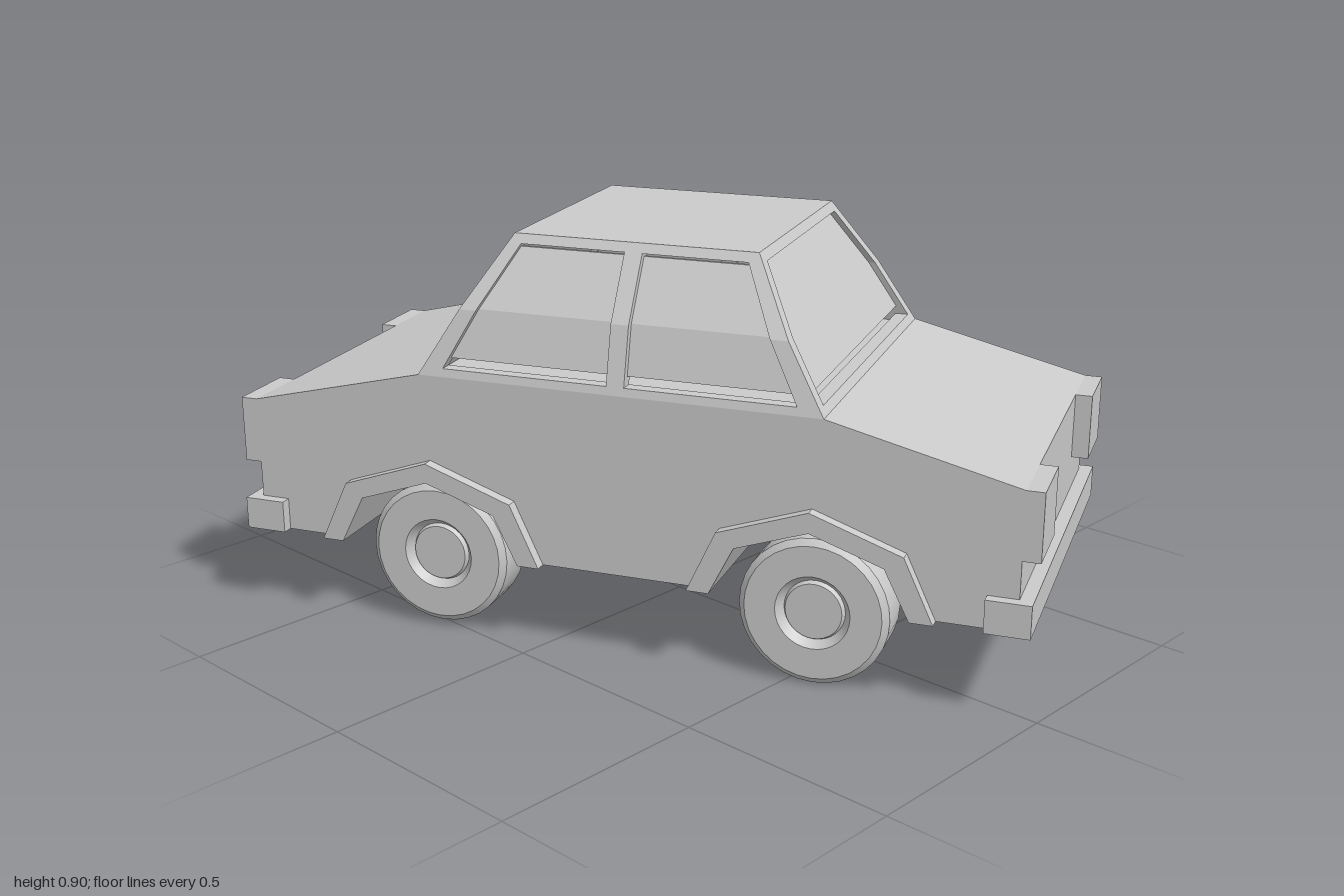
import * as THREE from 'three';
import { toCreasedNormals } from 'three/addons/utils/BufferGeometryUtils.js';

const YAW = 0.4136; // the car stands turned on its base
const BODY_W = 0.409, BODY_L = 0.867, BASE = 0.195, BELT = 0.6, ROOF = 0.9;
const AXLE = 0.435;

const paint = new THREE.MeshStandardMaterial({ color: 0xcccccc, flatShading: true });
const smooth = new THREE.MeshStandardMaterial({ color: 0xcccccc });
const glass = new THREE.MeshStandardMaterial({ color: 0xcccccc, flatShading: true, side: THREE.DoubleSide });

// Cabin half width (bulging sides) and half length at a height
const cabinW = (y) => y < 0.745
  ? THREE.MathUtils.mapLinear(y, BELT, 0.745, BODY_W, 0.374)
  : THREE.MathUtils.mapLinear(y, 0.745, ROOF, 0.374, 0.28);
const cabinL = (y) => THREE.MathUtils.mapLinear(y, BELT, ROOF, 0.455, 0.275);

// Solid through rectangular sections; rect(y) gives [x0, x1, z0, z1]
function loft(heights, rect) {
  const pos = [], idx = [];
  heights.forEach((y) => {
    const [a, b, c, d] = rect(y);
    const x0 = Math.min(a, b), x1 = Math.max(a, b);
    const z0 = Math.min(c, d), z1 = Math.max(c, d);
    pos.push(x0, y, z1, x1, y, z1, x1, y, z0, x0, y, z0);
  });
  const top = (heights.length - 1) * 4;
  for (let k = 0; k < top; k += 4) {
    for (let i = 0; i < 4; i++) {
      const a = k + i, b = k + (i + 1) % 4;
      idx.push(a, b, b + 4, a, b + 4, a + 4);
    }
  }
  idx.push(top, top + 1, top + 2, top, top + 2, top + 3, 0, 2, 1, 0, 3, 2);
  const geo = new THREE.BufferGeometry();
  geo.setAttribute('position', new THREE.Float32BufferAttribute(pos, 3));
  geo.setIndex(idx);
  const flat = geo.toNonIndexed();
  flat.computeVertexNormals();
  return flat;
}

// Side outline given as [z, y] points, extruded across the car from x0 to x1
function sideExtrude(points, x0, x1) {
  const shape = new THREE.Shape(points.map(([z, y]) => new THREE.Vector2(z, y)));
  const geo = new THREE.ExtrudeGeometry(shape, { depth: x1 - x0, bevelEnabled: false });
  geo.translate(0, 0, -x1);
  return geo.rotateY(-Math.PI / 2);
}

// Faceted arch from front to back around a wheel
const archLine = (z, foot, hip, hipY, crown) => [
  [z + foot, BASE], [z + hip, hipY], [z, crown], [z - hip, hipY], [z - foot, BASE]];
const innerArch = (z) => archLine(z, 0.215, 0.16, 0.305, 0.36);
const outerArch = (z) => archLine(z, 0.265, 0.2, 0.335, 0.405);

export function createModel() {
  const model = new THREE.Group();
  const car = new THREE.Group();
  car.name = 'car';
  car.rotation.y = YAW;
  model.add(car);
  const add = (name, geo, mat = paint) => {
    const mesh = new THREE.Mesh(geo, mat);
    mesh.name = name;
    car.add(mesh);
    return mesh;
  };
  const box = (name, w, h, d, x, y, z) =>
    add(name, new THREE.BoxGeometry(w, h, d)).position.set(x, y, z);

  // Lower body with wheel wells running right across
  add('body', sideExtrude([
    [BODY_L, BASE], [BODY_L, 0.5], [0.455, BELT], [-0.455, BELT], [-BODY_L, 0.5], [-BODY_L, BASE],
    ...innerArch(-AXLE).reverse(), ...innerArch(AXLE).reverse(),
  ], -BODY_W, BODY_W));

  // Roof slab
  add('roof', loft([0.88, ROOF], (y) => [-cabinW(y), cabinW(y), -cabinL(y), cabinL(y)]));

  const tall = [BELT, 0.745, 0.885];
  const pane = [0.638, 0.745, 0.872];
  const sill = [BELT, 0.618];
  const thick = (y) => THREE.MathUtils.mapLinear(y, BELT, ROOF, 0.048, 0.03);

  for (const s of [1, -1]) {
    const side = s > 0 ? 'left' : 'right';
    const end = s > 0 ? 'front' : 'rear';

    // Centre pillar, side sill and side glass
    add(side + 'CentrePillar', loft(tall, (y) =>
      [s * cabinW(y), s * (cabinW(y) - 0.03), -0.018, 0.022]));
    add(side + 'Sill', loft(sill, (y) =>
      [s * cabinW(y), s * (cabinW(y) - 0.03), -cabinL(y), cabinL(y)]));
    add(side + 'SideGlass', loft(pane, (y) =>
      [s * (cabinW(y) - 0.016), s * (cabinW(y) - 0.024), 0.03 - cabinL(y), cabinL(y) - 0.03]), glass);

    // Sill and glass at each end of the cabin
    add(end + 'Sill', loft(sill, (y) =>
      [-cabinW(y), cabinW(y), s * cabinL(y), s * (cabinL(y) - 0.03)]));
    add(end + 'Glass', loft(pane, (y) =>
      [0.026 - cabinW(y), cabinW(y) - 0.026, s * (cabinL(y) - 0.016), s * (cabinL(y) - 0.024)]), glass);

    // Bumper wrapping round the corners
    box(end + 'Bumper', 0.868, 0.073, 0.095, 0, 0.2315, s * 0.849);

    for (const e of [1, -1]) {
      const corner = side + (e > 0 ? 'Front' : 'Rear');

      add(corner + 'Pillar', loft(tall, (y) => [
        s * cabinW(y), s * (cabinW(y) - 0.03), e * cabinL(y), e * (cabinL(y) - thick(y))]));

      // Square corner lamp
      box(corner + 'Lamp', 0.161, 0.15, 0.05, s * 0.3285, 0.425, e * 0.88);

      // Raised trim round the wheel opening
      const trim = [...outerArch(e * AXLE), ...innerArch(e * AXLE).reverse()];
      add(corner + 'ArchTrim', s > 0 ? sideExtrude(trim, 0.4, 0.435) : sideExtrude(trim, -0.435, -0.4));
    }
  }

  // Wheels: tyre with chamfered shoulders and a recessed hub on both faces
  const half = [[0, 0.048], [0.062, 0.048], [0.067, 0.038], [0.082, 0.0575], [0.15, 0.0575], [0.164, 0.046]];
  const profile = [
    ...half.map(([r, y]) => new THREE.Vector2(r, -y)),
    ...half.map(([r, y]) => new THREE.Vector2(r, y)).reverse(),
  ];
  const wheelGeo = toCreasedNormals(new THREE.LatheGeometry(profile, 32).rotateZ(Math.PI / 2), 0.5);
  for (const s of [1, -1]) {
    for (const e of [1, -1]) {
      const wheel = add((s > 0 ? 'left' : 'right') + (e > 0 ? 'Front' : 'Rear') + 'Wheel', wheelGeo, smooth);
      wheel.position.set(s * 0.3325, e > 0 ? 0.164 : 0.176, e * AXLE);
    }
  }
  return model;
}
